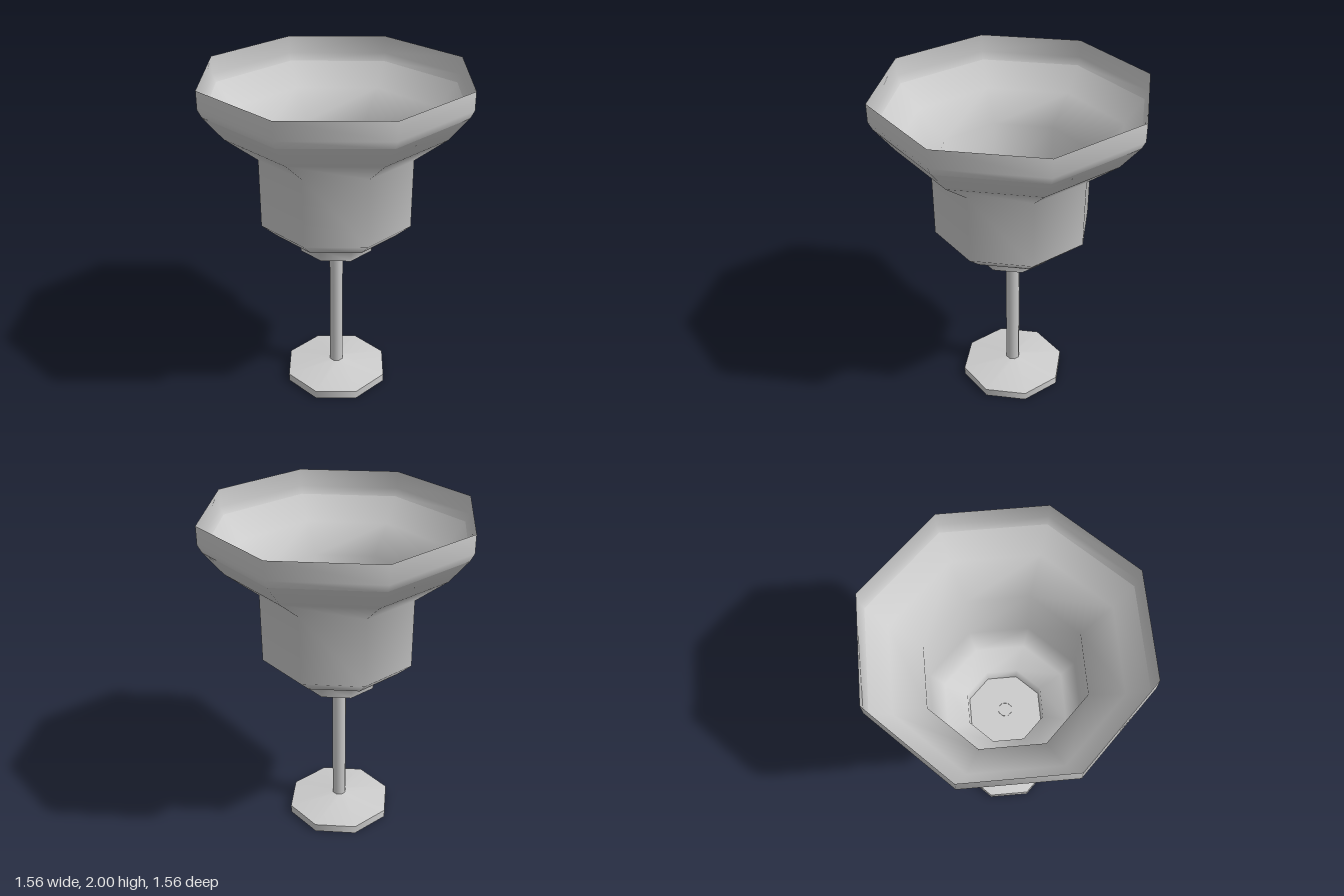
import * as THREE from 'three';

const SIDES = 8;

export function createModel() {
  const group = new THREE.Group();
  const silver = new THREE.MeshStandardMaterial({ color: 0xcccccc, side: THREE.DoubleSide });
  silver.name = 'pale grey';

  const add = (name, geometry, y = 0) => {
    const mesh = new THREE.Mesh(geometry, silver);
    mesh.name = name;
    mesh.position.y = y;
    group.add(mesh);
  };
  const lathe = (points) =>
    new THREE.LatheGeometry(points.map(([r, y]) => new THREE.Vector2(r, y)), SIDES);

  // Foot: thin octagonal plate with a shallow cone on top
  add('footPlate', new THREE.CylinderGeometry(0.325, 0.325, 0.05, SIDES), 0.025);
  add('footCone', new THREE.CylinderGeometry(0.04, 0.325, 0.045, SIDES, 1, true), 0.0725);

  // Stem
  add('stem', new THREE.CylinderGeometry(0.043, 0.043, 0.86, SIDES, 1, true), 0.51);

  // Bowl: closed floor, collar, straight cup and flared, open mouth
  add('bowlFloor', lathe([[0, 0.935], [0.225, 0.935]]));
  add('bowl', lathe([
    [0.225, 0.935], [0.236, 1.01], [0.375, 1.07], [0.463, 1.15],
    [0.465, 1.56], [0.65, 1.71], [0.76, 1.85],
  ]));
  add('rim', lathe([[0.76, 1.85], [0.782, 1.895], [0.782, 2]]));

  return group;
}
